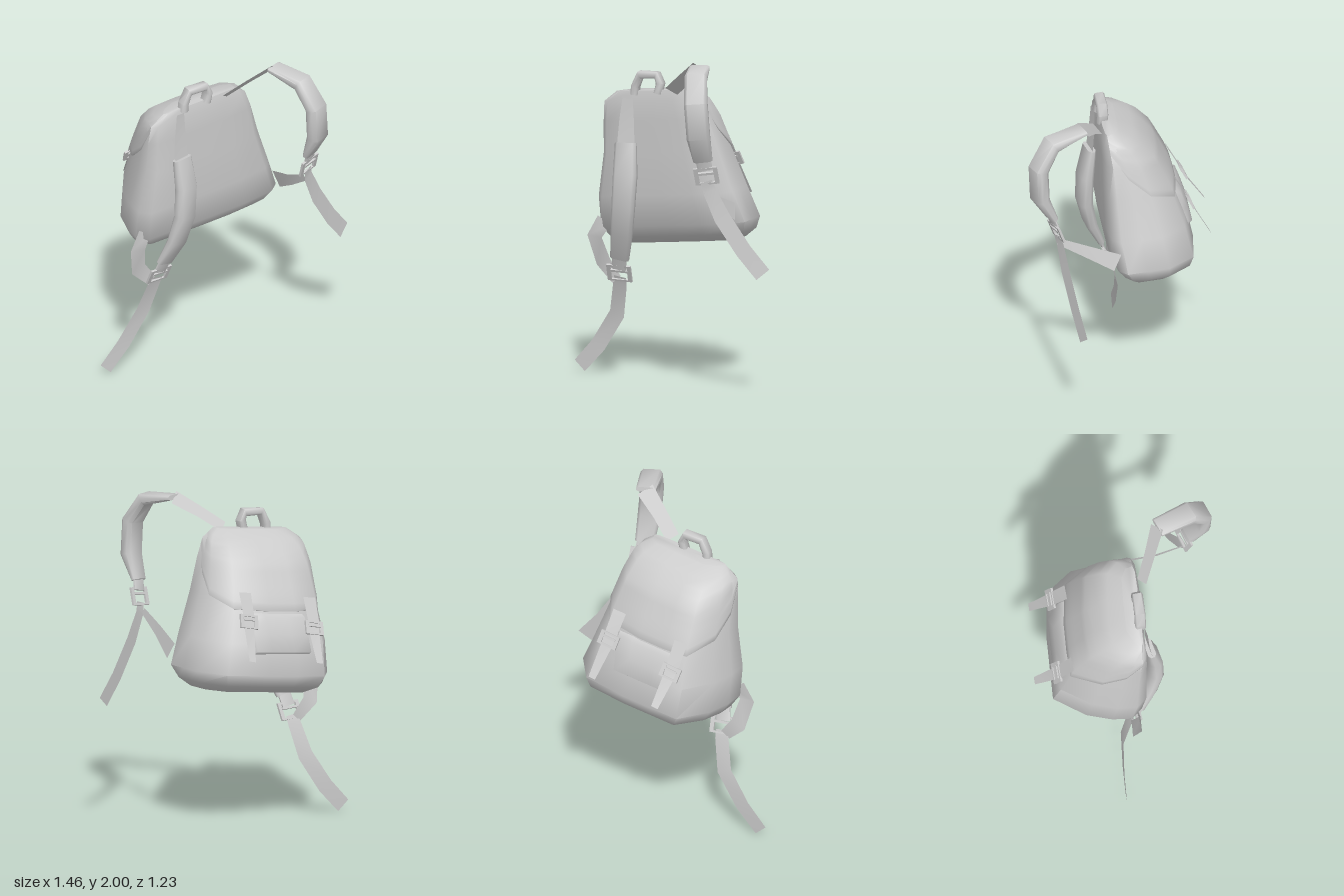
import * as THREE from 'three';
import { toCreasedNormals } from 'three/addons/utils/BufferGeometryUtils.js';

const V = (p) => new THREE.Vector3(...p);
const grey = new THREE.MeshStandardMaterial({ color: 0xcccccc });
const greyThin = new THREE.MeshStandardMaterial({ color: 0xcccccc, side: THREE.DoubleSide });

// Skin through rows of points; closed rows wrap around and get end caps
function loft(rows, closed) {
  const n = rows[0].length, pos = rows.flat().flatMap((p) => p.toArray()), idx = [];
  for (let j = 0; j < rows.length - 1; j++) {
    for (let i = 0; i < (closed ? n : n - 1); i++) {
      const a = j * n + i, b = j * n + (i + 1) % n;
      idx.push(a, a + n, b, b, a + n, b + n);
    }
  }
  if (closed) {
    [0, rows.length - 1].forEach((j, end) => {
      const c = rows[j].reduce((s, p) => s.add(p), V([0, 0, 0])).divideScalar(n);
      const ci = pos.length / 3;
      pos.push(...c.toArray());
      for (let i = 0; i < n; i++) {
        const a = j * n + i, b = j * n + (i + 1) % n;
        idx.push(ci, end ? b : a, end ? a : b);
      }
    });
  }
  const g = new THREE.BufferGeometry();
  g.setAttribute('position', new THREE.Float32BufferAttribute(pos, 3));
  g.setIndex(idx);
  g.computeVertexNormals();
  return closed ? toCreasedNormals(g, 1.0) : g;
}

function mesh(name, geometry, material = grey) {
  const m = new THREE.Mesh(geometry, material);
  m.name = name;
  return m;
}

// Strap along a path; thick = 0 gives flat webbing, otherwise a padded section
function strap(name, path, normal, width, thick = 0) {
  const pts = path.map(V), at = (v, i) => (Array.isArray(v) ? v[i] : v);
  const rows = pts.map((p, i) => {
    const t = pts[Math.min(i + 1, pts.length - 1)].clone().sub(pts[Math.max(i - 1, 0)]).normalize();
    const hint = V(Array.isArray(normal[0]) ? normal[i] : normal);
    const w = hint.cross(t).normalize(), n = t.clone().cross(w);
    const W = at(width, i) / 2, T = at(thick, i) / 2;
    if (!thick) return [-1, 1].map((s) => p.clone().addScaledVector(w, s * W));
    return [[1, 0.45], [0.75, 1], [-0.75, 1], [-1, 0.45], [-1, -0.45], [-0.75, -1], [0.75, -1], [1, -0.45]]
      .reverse().map(([a, b]) => p.clone().addScaledVector(w, a * W).addScaledVector(n, b * T));
  });
  return mesh(name, loft(rows, !!thick), thick ? grey : greyThin);
}

// Rectangular buckle frame with a centre bar, its y axis along `up`
function buckle(name, at, up, facing, w, h) {
  const rect = (P, a, b) => new P([[-a, -b], [a, -b], [a, b], [-a, b]].map(([x, y]) => new THREE.Vector2(x, y)));
  const s = rect(THREE.Shape, w / 2, h / 2);
  s.holes.push(rect(THREE.Path, w / 2 - 0.025, h / 2 - 0.012));
  const g = new THREE.Group();
  g.name = name;
  const frame = new THREE.ExtrudeGeometry(s, { depth: 0.014, bevelEnabled: false }).translate(0, 0, -0.007);
  g.add(mesh('buckleFrame', frame));
  g.add(mesh('buckleBar', new THREE.BoxGeometry(w - 0.04, 0.014, 0.02).translate(0, h * 0.15, 0)));
  const y = V(up).normalize(), x = y.clone().cross(V(facing)).normalize();
  g.applyMatrix4(new THREE.Matrix4().makeBasis(x, y, x.clone().cross(y)).setPosition(V(at)));
  return g;
}

// Bag cross-sections: height, left x, right x, front z, back z
const RINGS = [
  [1.80, -0.39, 0.10, 0.075, -0.02], [1.74, -0.475, 0.175, 0.088, -0.13], [1.62, -0.485, 0.225, 0.088, -0.24],
  [1.42, -0.49, 0.285, 0.086, -0.34], [1.16, -0.53, 0.375, 0.082, -0.43], [0.97, -0.525, 0.445, 0.055, -0.477],
  [0.90, -0.48, 0.42, 0.0, -0.45], [0.855, -0.41, 0.365, -0.06, -0.36],
];
// Outline of one section: u across, v from front panel to back
const OUTLINE = [[-0.9, 0], [-0.45, 0], [0, 0], [0.45, 0.01], [0.87, 0.06], [1, 0.16], [1, 0.4], [1, 0.65],
  [0.8, 0.95], [0.25, 1], [-0.15, 1], [-0.52, 1], [-0.82, 0.64], [-0.95, 0.35], [-1, 0.12]];

function ringAt(y) {
  const j = Math.max(1, RINGS.findIndex((r) => r[0] <= y));
  const a = RINGS[j - 1], b = RINGS[j], t = (a[0] - y) / (a[0] - b[0]);
  return a.map((v, k) => v + (b[k] - v) * t);
}

// The whole bag leans and turns a little
const lean = (x, y, z) => V([x, y + 0.1 * x, z + 0.15 * x]);

function bagPoint(i, y, off = 0) {
  const [, xl, xr, zf, zb] = ringAt(y), [u, v] = OUTLINE[i];
  const x = xl + (xr - xl) * (u + 1) / 2, z = zf + (zb - zf) * v;
  const d = new THREE.Vector2(x - (xl + xr) / 2, z - (zf + zb) / 2).setLength(off);
  return lean(x + d.x, y + off * 0.3, z + d.y);
}

export function createModel() {
  const bag = new THREE.Group();
  bag.name = 'backpack';

  // Main bag
  bag.add(mesh('bagBody', loft(RINGS.map((r) => OUTLINE.map((_, i) => bagPoint(i, r[0]))), true)));

  // Flap over the top and back, its hem rising and melting into the sides
  const hem = [1.70, 1.54, 1.42, 1.36, 1.35, 1.35, 1.36, 1.42, 1.54, 1.70];
  const lift = [0, 0.006, 0.012, 0.016, 0.016, 0.016, 0.016, 0.012, 0.006, 0];
  const flapRows = [];
  for (let j = 0; j <= 11; j++) {
    const t = Math.min(j, 10) / 10;
    flapRows.push(hem.map((h, k) => bagPoint(k + 5, 1.8 + (h - 1.8) * t, j === 0 || j === 11 ? 0 : lift[k])));
  }
  bag.add(mesh('flap', loft(flapRows, false), greyThin));

  // Puffed pocket below the flap
  const pocketRows = [[1.34, 0], [1.32, 1], [1.22, 1.3], [1.12, 1], [1.10, 0]].map(([y, f]) =>
    [[0.16, 0], [0.15, 1], [0.05, 1.15], [-0.1, 1.15], [-0.21, 1], [-0.22, 0]].map(([x, e]) =>
      lean(x, y, ringAt(y)[4] + 0.005 - 0.03 * Math.min(f, e))));
  bag.add(mesh('pocket', loft(pocketRows, false), greyThin));

  // Top handle
  bag.add(strap('handle', [[-0.262, 1.75, 0.03], [-0.258, 1.80, 0.03], [-0.225, 1.875, 0.035],
    [-0.11, 1.88, 0.05], [-0.09, 1.83, 0.05], [-0.105, 1.77, 0.05]],
  [[-1, 0, 0], [-1, 0.2, 0], [-1, 1, 0], [1, 1, 0], [1, 0.2, 0], [1, -0.2, 0]], 0.065, 0.044));

  // Closing straps with buckles
  [[[-0.27, 1.41, -0.395], [-0.25, 1.28, -0.465], [-0.23, 1.20, -0.505], [-0.19, 1.05, -0.61]],
    [[0.16, 1.48, -0.325], [0.185, 1.36, -0.395], [0.205, 1.28, -0.43], [0.255, 1.10, -0.53]]].forEach((p, k) => {
    const side = k ? 'left' : 'right';
    bag.add(strap(side + 'ClosingStrap', p, [0, 0.4, -1], [0.085, 0.08, 0.07, 0.045]));
    const up = V(p[1]).sub(V(p[2])).toArray();
    bag.add(buckle(side + 'ClosingBuckle', V(p[1]).lerp(V(p[2]), 0.5).toArray(), up, [0, 0.4, -1], 0.125, 0.085));
  });

  // Right shoulder strap, hanging against the panel
  bag.add(strap('rightAnchorWebbing', [[-0.30, 1.75, 0.055], [-0.305, 1.6, 0.06], [-0.305, 1.44, 0.075]],
    [0.1, 0, 1], [0.06, 0.09, 0.11]));
  bag.add(strap('rightShoulderPad', [[-0.305, 1.46, 0.075], [-0.297, 1.27, 0.105], [-0.308, 1.08, 0.108],
    [-0.335, 0.9, 0.065], [-0.375, 0.74, -0.005]], [0.1, 0, 1], [0.13, 0.145, 0.14, 0.13, 0.115],
  [0.05, 0.075, 0.075, 0.065, 0.04]));
  bag.add(strap('rightBuckleWebbing', [[-0.375, 0.75, 0], [-0.39, 0.67, -0.03]], [0, -0.3, 1], 0.09, 0.02));
  bag.add(buckle('rightShoulderBuckle', [-0.39, 0.645, -0.04], [0.05, 1, 0.45], [0, -0.4, 1], 0.155, 0.11));
  bag.add(strap('rightStrapTail', [[-0.392, 0.62, -0.055], [-0.40, 0.57, -0.075], [-0.44, 0.38, -0.13],
    [-0.57, 0.18, -0.155], [-0.695, 0.045, -0.17]], [0, 0.15, 1], [0.08, 0.09, 0.1, 0.1, 0.095]));
  bag.add(strap('rightLowerWebbing', [[-0.49, 0.96, -0.05], [-0.55, 0.86, -0.04], [-0.51, 0.70, -0.085],
    [-0.42, 0.60, -0.07]], [[0, 0, 1], [-0.15, 0, 1], [-0.15, 0, 1], [0, 0, 1]], [0.1, 0.1, 0.1, 0.07]));

  // Left shoulder strap, arching up and forward
  const out = [0.25, 0, 0.97];
  bag.add(strap('leftAnchorWebbing', [[0.0, 1.795, 0.105], [0.12, 1.89, 0.185], [0.25, 1.98, 0.265]],
    [0, 0.68, -0.73], [0.085, 0.09, 0.11]));
  bag.add(strap('leftShoulderPad', [[0.245, 1.98, 0.265], [0.30, 1.945, 0.475], [0.335, 1.80, 0.565],
    [0.35, 1.6, 0.56], [0.35, 1.45, 0.485]], [[0, 1, 0], [0.2, 1, 0.6], out, out, out],
  [0.12, 0.135, 0.14, 0.14, 0.115], [0.03, 0.075, 0.08, 0.08, 0.04]));
  bag.add(strap('leftBuckleWebbing', [[0.35, 1.46, 0.49], [0.36, 1.39, 0.468]], out, 0.09, 0.02));
  bag.add(buckle('leftShoulderBuckle', [0.362, 1.355, 0.46], [-0.05, 1, 0.35], [0.25, -0.3, 1], 0.145, 0.11));
  bag.add(strap('leftStrapTail', [[0.36, 1.32, 0.455], [0.375, 1.26, 0.44], [0.45, 1.10, 0.425],
    [0.58, 0.90, 0.40], [0.695, 0.76, 0.38]], [0.35, 0, 1], [0.07, 0.08, 0.1, 0.1, 0.1]));
  bag.add(strap('leftLowerWebbing', [[0.345, 1.265, 0.445], [0.36, 1.175, 0.28], [0.405, 1.085, 0.09]],
    [1, 0.3, 0.2], [0.04, 0.07, 0.11]));

  return bag;
}
